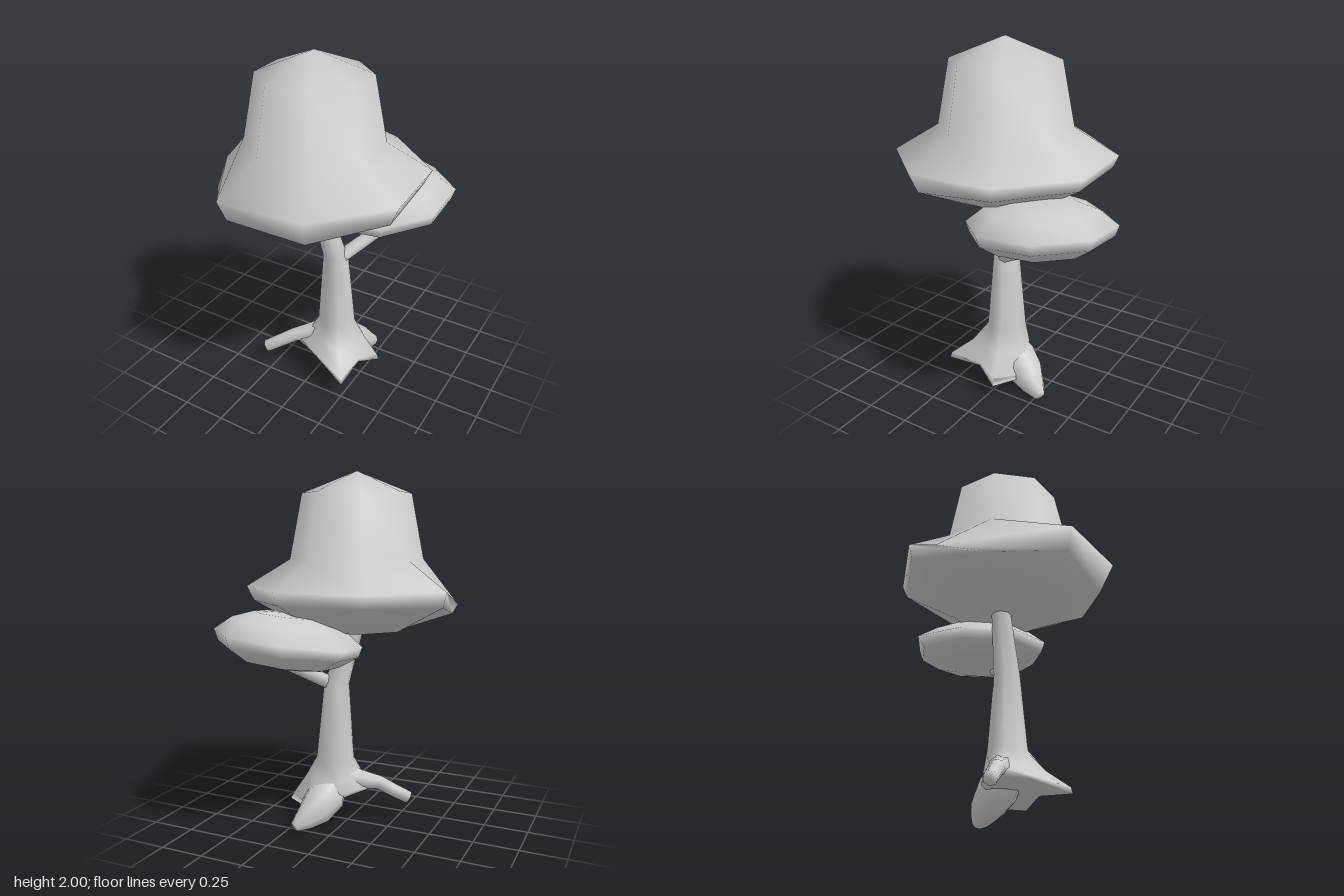
import * as THREE from 'three';
import { mergeVertices } from 'three/addons/utils/BufferGeometryUtils.js';

const V = (x, y, z) => new THREE.Vector3(x, y, z);
const at = (v, j) => (Array.isArray(v) ? v[j] : v);
const octagon = (start) => Array.from({ length: 8 }, (_, j) => start + 45 * j);

// Smooth skin over a list of rings (each an array of points), first to last
function loft(name, rings) {
  const n = rings[0].length;
  const index = [];
  for (let i = 0; i < rings.length - 1; i++) {
    for (let j = 0; j < n; j++) {
      const a = i * n + j, a2 = i * n + (j + 1) % n;
      index.push(a, a2, a + n, a2, a2 + n, a + n);
    }
  }
  let geo = new THREE.BufferGeometry().setFromPoints(rings.flat());
  geo.setIndex(index);
  geo = mergeVertices(geo);
  geo.computeVertexNormals();
  const mesh = new THREE.Mesh(geo, new THREE.MeshStandardMaterial({ color: 0xcccccc, side: THREE.DoubleSide }));
  mesh.name = name;
  return mesh;
}

// Ring of points around (cx, cz); y and r are single values or one per corner.
// Angles in degrees run from +x towards +z.
function ring(cx, cz, y, r, angles) {
  return angles.map((deg, j) => {
    const a = THREE.MathUtils.degToRad(deg);
    return V(cx + at(r, j) * Math.cos(a), at(y, j), cz + at(r, j) * Math.sin(a));
  });
}

// Tapered limb with a closed end, through points [x, y, z, radius]
function limb(name, points, sides = 7) {
  const p = points.map(([x, y, z]) => V(x, y, z));
  const rings = p.map((c, i) => {
    const d = p[Math.min(i + 1, p.length - 1)].clone().sub(p[Math.max(i - 1, 0)]).normalize();
    const u = V(0, 1, 0).cross(d).normalize();
    const v = d.clone().cross(u);
    return Array.from({ length: sides }, (_, j) => {
      const a = (j / sides) * Math.PI * 2, r = points[i][3];
      return c.clone().addScaledVector(u, r * Math.cos(a)).addScaledVector(v, r * Math.sin(a));
    });
  });
  const end = p[p.length - 1];
  rings.push(rings[0].map(() => end.clone()));
  return loft(name, rings);
}

export function createModel() {
  const tree = new THREE.Group();
  tree.name = 'tree';

  // Large crown: [y, radius], with an uneven underside of the brim
  const crown = [
    [2.0, 0], [1.88, 0.305], [1.52, 0.375], [1.37, 0.62],
    [[1.26, 1.21, 1.25, 1.21, 1.29, 1.3, 1.3, 1.29], [0.57, 0.54, 0.57, 0.54, 0.6, 0.59, 0.59, 0.58]],
    [1.135, 0.3], [1.13, 0],
  ].map(([y, r]) => ring(-0.02, 0.08, y, r, octagon(19)));
  // Flattened side of the brim
  crown[3][3].set(-0.61, 1.29, 0.08);
  crown[4][3].set(-0.51, 1.21, 0.31);
  tree.add(loft('mainCrown', crown));

  // Small crown, tilted up towards the back left
  const small = [
    [1.245, 0], [1.235, 0.18], [1.19, 0.3], [1.11, 0.4],
    [1.05, 0.38], [0.98, 0.27], [0.955, 0.15], [0.95, 0],
  ].map(([y, r]) => ring(0.22, -0.29, y, r, octagon(22)));
  small[3][4].x -= 0.03;
  small.flat().forEach((q) => { q.y += 0.1 * (q.x - 0.22) - 0.08 * (q.z + 0.29); });
  tree.add(loft('smallCrown', small));

  // Trunk whose foot spreads into the roots: [x, z, y, radius]
  const toes = [56, 100, 152, 190, 236, 288, 345, 380];
  const trunk = [
    [-0.03, 0.05, 1.2, 0.052], [-0.02, 0.05, 1.14, 0.054], [0.077, 0.015, 0.81, 0.073],
    [0.085, 0.01, 0.37, 0.11],
    [0.085, 0.01, 0.26, [0.2, 0.14, 0.17, 0.13, 0.13, 0.16, 0.17, 0.15]],
    [0.085, 0.01, [0.17, 0.2, 0.22, 0.2, 0.18, 0.13, 0.14, 0.17], [0.33, 0.19, 0.24, 0.16, 0.14, 0.21, 0.25, 0.2]],
    [0.085, 0.01, [0.135, 0.18, 0.18, 0.18, 0.15, 0.1, 0.1, 0.15], [0.34, 0.19, 0.23, 0.15, 0.12, 0.2, 0.27, 0.2]],
    [0.085, 0.01, 0.16, 0.1], [0.085, 0.01, 0.15, 0],
  ].map(([x, z, y, r]) => ring(x, z, y, r, toes));
  tree.add(loft('trunk', trunk));

  // Side branch carrying the small crown
  tree.add(limb('branch', [
    [0.09, 0.79, 0.03, 0.036], [0.13, 0.825, -0.01, 0.041], [0.29, 0.965, -0.23, 0.038], [0.32, 1.02, -0.28, 0.03],
  ]));

  // Long roots
  tree.add(limb('rightRoot', [
    [0.03, 0.27, 0.02, 0.08], [-0.05, 0.24, 0.06, 0.06], [-0.15, 0.215, 0.12, 0.042],
    [-0.22, 0.17, 0.155, 0.04], [-0.305, 0.118, 0.2, 0.038],
  ]));
  tree.add(limb('backRoot', [
    [0.09, 0.25, 0.02, 0.09], [0.1, 0.165, -0.07, 0.115], [0.13, 0.105, -0.16, 0.1],
    [0.17, 0.06, -0.23, 0.065], [0.2, 0.034, -0.285, 0.032],
  ]));

  return tree;
}
